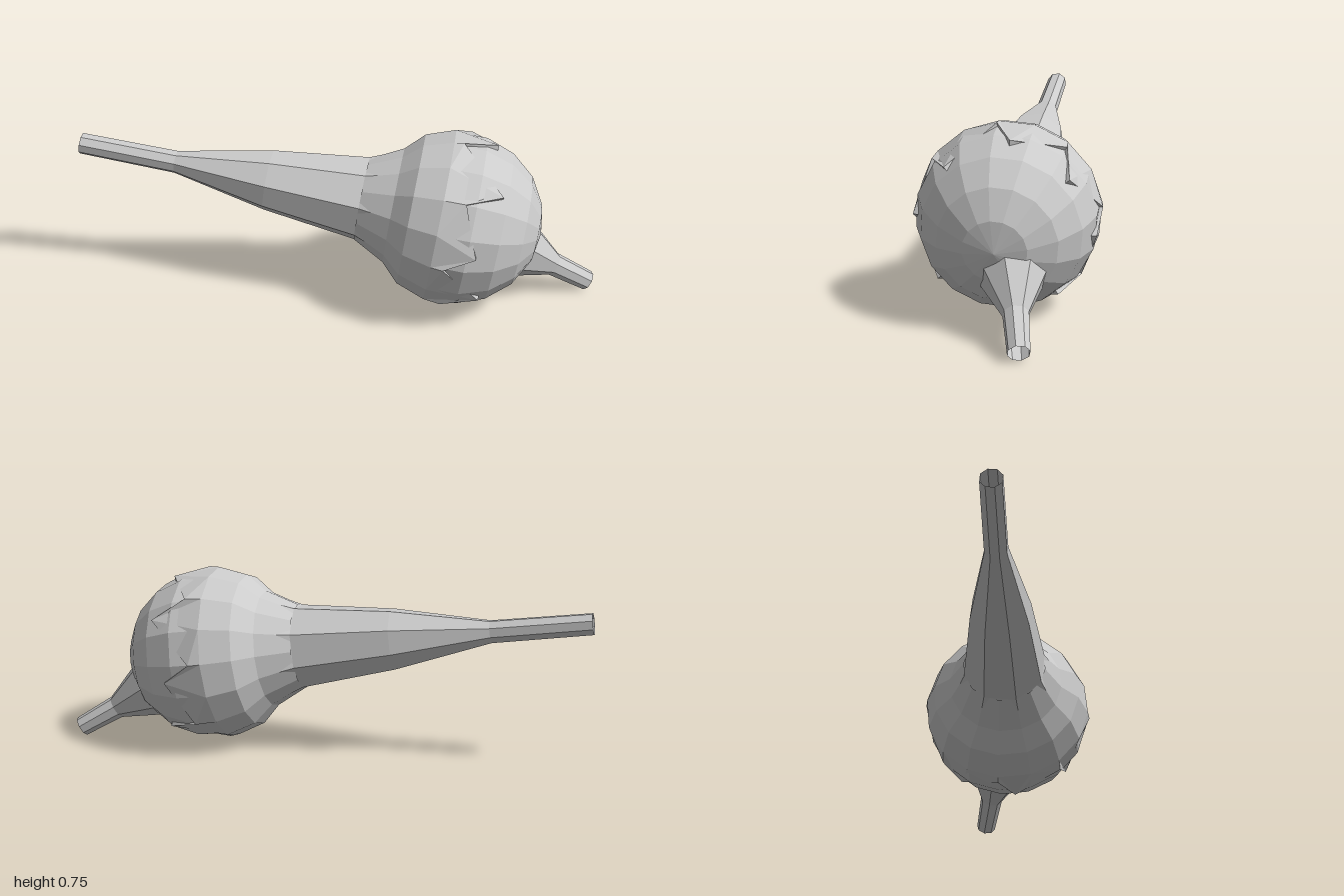
import * as THREE from 'three';

const material = new THREE.MeshStandardMaterial({ color: 0xcccccc, flatShading: true, side: THREE.DoubleSide });
const centre = new THREE.Vector3(0.42, 0.385, 0.22);
const bodyAxis = new THREE.Vector3(0.87, -0.143, 0.472).normalize();
const stemAxis = new THREE.Vector3(0.83, -0.505, 0.24).normalize();
const RADIUS = 0.36;

// Lathe around a tilted axis through the body centre; profile is [radius, distance along axis]
function turned(name, profile, sides, axis) {
  const points = profile.map(([r, s]) => new THREE.Vector2(r, s));
  const mesh = new THREE.Mesh(new THREE.LatheGeometry(points, sides), material);
  mesh.name = name;
  mesh.position.copy(centre);
  mesh.quaternion.setFromUnitVectors(new THREE.Vector3(0, 1, 0), axis);
  return mesh;
}

export function createModel() {
  const group = new THREE.Group();
  group.name = 'bulb';

  // Faceted round body, its poles on the tail axis
  const rows = 9;
  const ball = [];
  for (let i = 0; i <= rows; i++) {
    const a = Math.PI * i / rows;
    ball.push([RADIUS * Math.sin(a), -RADIUS * Math.cos(a)]);
  }
  group.add(turned('body', ball, 16, bodyAxis));

  // Long hollow tail, slimming to a straight tube
  group.add(turned('tail', [
    [0.045, -1.61], [0.048, -1.2], [0.13, -0.8], [0.18, -0.4], [0.24, -0.26]
  ], 8, bodyAxis));

  // Husk flaring out of the tail and wrapping the back of the body
  const husk = turned('husk', [
    [0.175, -0.4], [0.245, -0.265], [0.32, -0.19], [0.363, -0.07], [0.37, 0], [0.35, 0]
  ], 16, bodyAxis);
  const pos = husk.geometry.attributes.position;
  const rings = 6;
  const teeth = [0.15, 0.0, 0.11, -0.03, 0.16, 0.02, 0.1, -0.02];
  for (let i = 0; i < pos.count; i++) {
    const ring = i % rings;
    if (ring < 4) continue;
    // Ragged, slightly twisted rim: the last ring tucks into the body
    const column = Math.floor(i / rings) % 16;
    const s = teeth[column % teeth.length];
    const r = Math.sqrt(RADIUS ** 2 - s * s) * (ring === 4 ? 1.03 : 0.96);
    const angle = column / 16 * Math.PI * 2 + (s > 0.05 ? 0.2 : 0);
    pos.setXYZ(i, r * Math.sin(angle), s, r * Math.cos(angle));
  }
  husk.geometry.computeVertexNormals();
  group.add(husk);

  // Short hollow stem at the other end
  group.add(turned('stem', [
    [0.14, 0.28], [0.125, 0.335], [0.05, 0.5], [0.043, 0.68]
  ], 8, stemAxis));

  return group;
}
